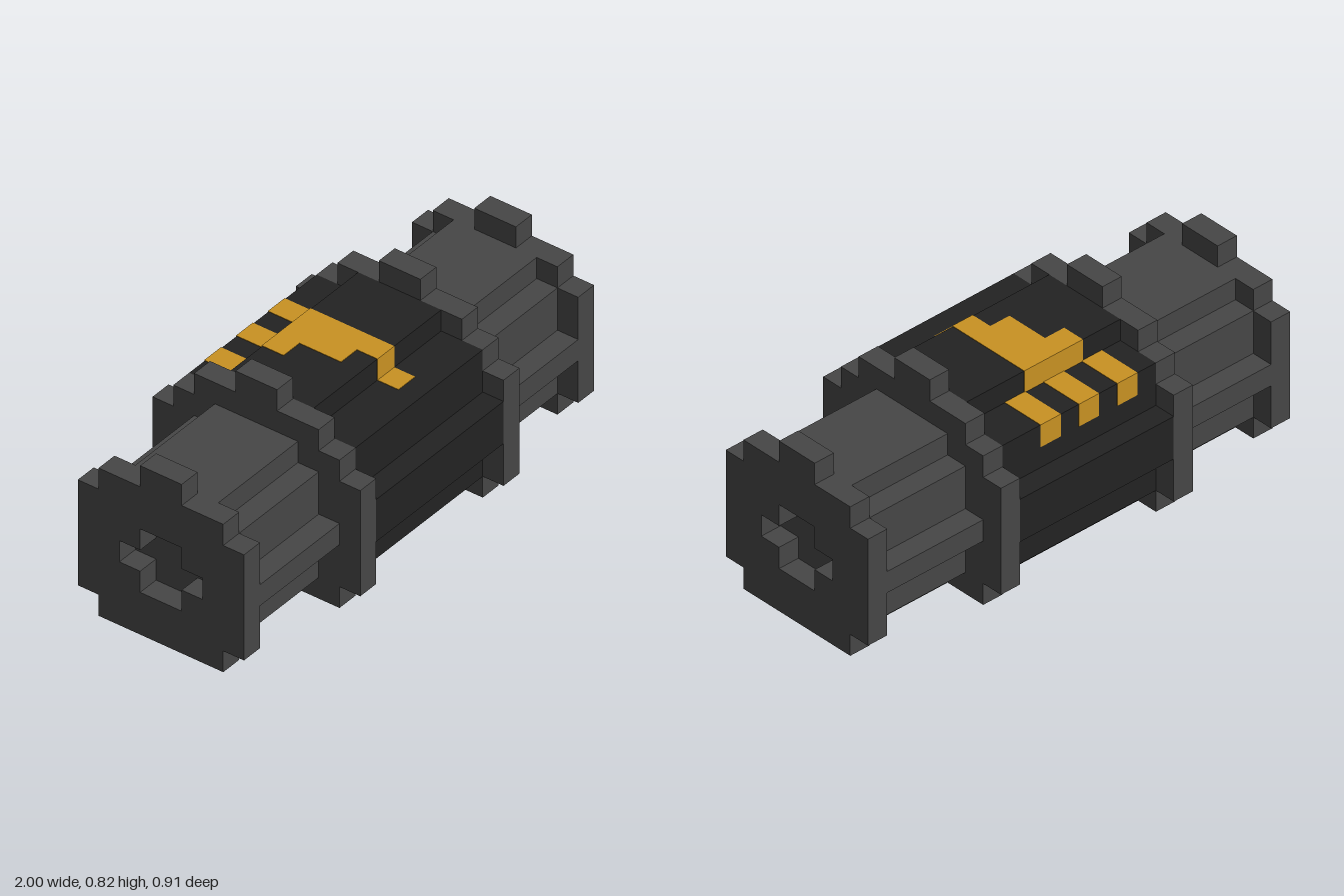
import * as THREE from 'three';

const U = 1 / 11; // one block

const grey = new THREE.MeshStandardMaterial({ color: 0x464646 });
grey.name = 'dark grey';
const black = new THREE.MeshStandardMaterial({ color: 0x222222 });
black.name = 'black';
const gold = new THREE.MeshStandardMaterial({ color: 0xc99222 });
gold.name = 'gold';

// Stepped, symmetric cross-section from rows of [top height, half width], extruded from x0 to x1
function steppedPrism(name, rows, x0, x1, material, hole) {
  const right = [];
  let y = 0;
  for (const [top, half] of rows) {
    right.push([half, y], [half, top]);
    y = top;
  }
  const left = right.map(([z, h]) => [-z, h]).reverse();
  const toPoints = (list) => list.map(([z, h]) => new THREE.Vector2(z * U, h * U));
  const shape = new THREE.Shape(toPoints([...right, ...left]));
  if (hole) shape.holes.push(new THREE.Path(toPoints(hole)));
  const geometry = new THREE.ExtrudeGeometry(shape, { depth: (x1 - x0) * U, bevelEnabled: false });
  geometry.rotateY(Math.PI / 2);
  geometry.translate(x0 * U, 0, 0);
  const mesh = new THREE.Mesh(geometry, material);
  mesh.name = name;
  return mesh;
}

// Inlaid block, a hair proud of the surface around it
function inlay(name, x0, x1, y0, y1, z0, z1) {
  const e = 0.05;
  const geometry = new THREE.BoxGeometry((x1 - x0 + e) * U, (y1 - y0 + e) * U, (z1 - z0 + e) * U);
  geometry.translate((x0 + x1) / 2 * U, (y0 + y1) / 2 * U, (z0 + z1) / 2 * U);
  const mesh = new THREE.Mesh(geometry, gold);
  mesh.name = name;
  return mesh;
}

export function createModel() {
  const model = new THREE.Group();
  model.name = 'canister';

  // Central drum with raised side bands
  const drum = [[1, 3], [3, 4], [5, 5], [7, 4], [8, 2]];
  model.add(steppedPrism('drum', drum, -4, 4, black));

  // Collars, ribbed sleeves and end caps on both sides
  const collar = [[1, 4], [6, 5], [7, 4], [8, 3], [9, 1]];
  const sleeve = [[1, 2], [3, 3], [4, 4], [6, 3], [7, 2]];
  const cap = [[1, 3], [6, 4], [7, 3], [8, 1]];
  const cross = [[1, 2], [1, 3], [2, 3], [2, 4], [1, 4], [1, 5],
    [-1, 5], [-1, 4], [-2, 4], [-2, 3], [-1, 3], [-1, 2]];
  for (const [side, s] of [['left', 1], ['right', -1]]) {
    const add = (name, rows, a, b, hole) => model.add(
      steppedPrism(side + name, rows, Math.min(s * a, s * b), Math.max(s * a, s * b), grey, hole));
    add('Collar', collar, 4, 5);
    add('Sleeve', sleeve, 5, 10);
    add('EndCap', cap, 10, 11, cross);
  }

  // Gold emblem across the top: three prongs at the back, tapering to the front
  const emblem = new THREE.Group();
  emblem.name = 'emblem';
  for (const x of [-3, -1, 1]) emblem.add(inlay('prong', x, x + 1, 6, 7, -4, -2));
  emblem.add(
    inlay('emblemBase', -2, 1, 7, 8, -2, -1),
    inlay('emblemMiddle', -1, 1, 7, 8, -1, 1),
    inlay('emblemStem', 0, 1, 7, 8, 1, 2),
    inlay('emblemTip', 0, 1, 6, 7, 2, 3),
  );
  model.add(emblem);
  return model;
}
